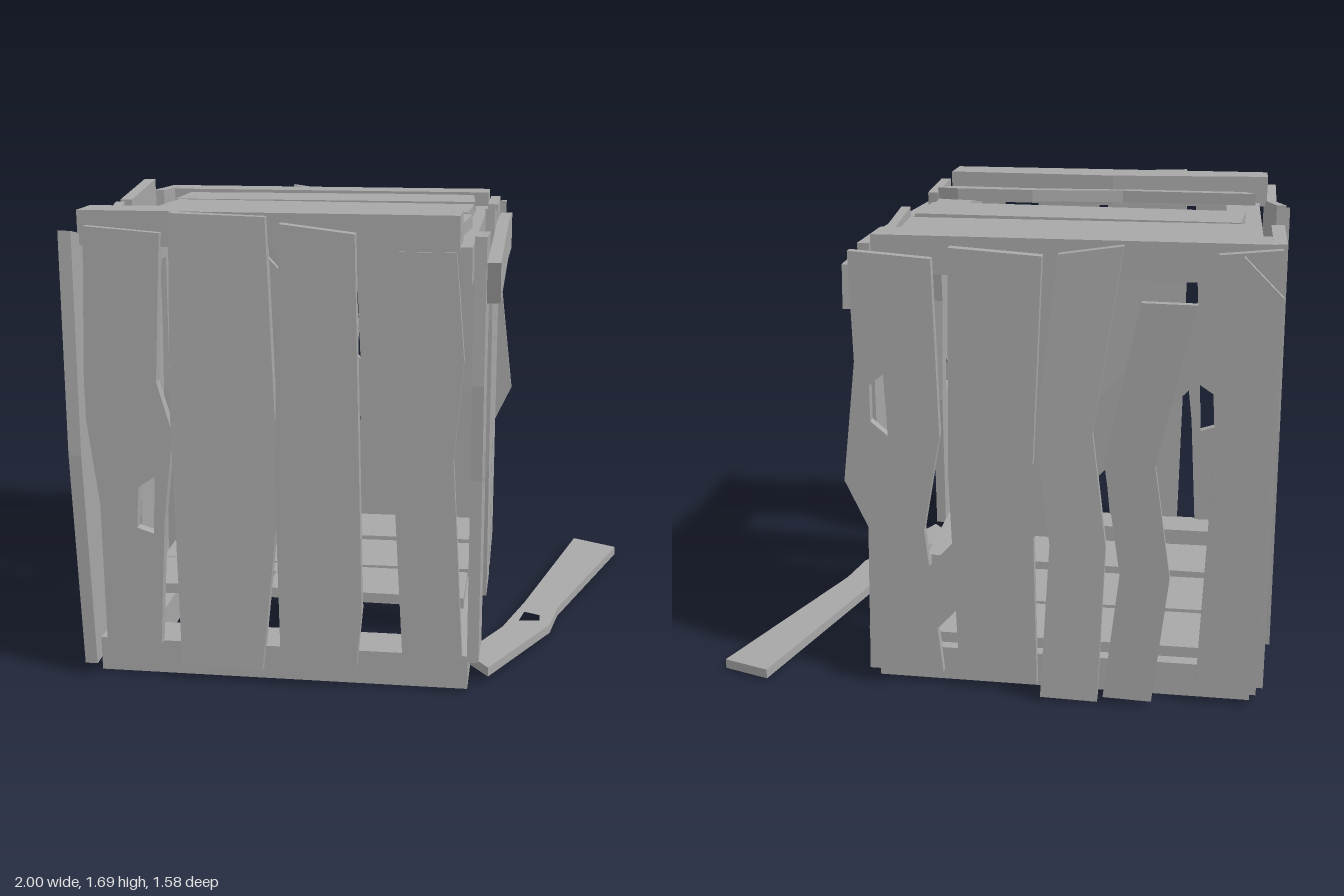
import * as THREE from 'three';

const wood = new THREE.MeshStandardMaterial({ color: 0xa8a8a8 });
wood.name = 'weathered grey wood';

// Each wall has a plane: (a, b) outline coordinates plus a depth along its axis.
const V = (x, y, z) => new THREE.Vector3(x, y, z);
const PLANES = {
  z: { basis: [V(1, 0, 0), V(0, 1, 0), V(0, 0, 1)], flip: [1, 1] },   // outline is x, y
  x: { basis: [V(0, 0, -1), V(0, 1, 0), V(1, 0, 0)], flip: [-1, 1] }, // outline is z, y
  y: { basis: [V(1, 0, 0), V(0, 0, -1), V(0, 1, 0)], flip: [1, -1] }, // outline is x, z
};

// A sawn board: outline extruded from depth d0 to d1, sheared by the given slopes, with an optional hole.
function board(name, axis, outline, d0, d1, { hole, slope = [0, 0] } = {}) {
  const { basis, flip } = PLANES[axis];
  const pts = (list) => list.map(([a, b]) => new THREE.Vector2(a * flip[0], b * flip[1]));
  const shape = new THREE.Shape(pts(outline));
  if (hole) shape.holes.push(new THREE.Path(pts(hole)));
  const geo = new THREE.ExtrudeGeometry(shape, { depth: d1 - d0, bevelEnabled: false });
  const p = geo.attributes.position;
  let ca = 0, cb = 0;
  for (const [a, b] of outline) { ca += a / outline.length; cb += b / outline.length; }
  for (let i = 0; i < p.count; i++) {
    const a = p.getX(i) * flip[0] - ca, b = p.getY(i) * flip[1] - cb;
    p.setZ(i, p.getZ(i) + d0 + slope[0] * a + slope[1] * b);
  }
  geo.applyMatrix4(new THREE.Matrix4().makeBasis(...basis));
  geo.computeVertexNormals();
  const mesh = new THREE.Mesh(geo, wood);
  mesh.name = name;
  return mesh;
}

const rect = (a0, a1, b0, b1) => [[a0, b0], [a1, b0], [a1, b1], [a0, b1]];

export function createModel() {
  const crate = new THREE.Group();
  crate.name = 'brokenCrate';
  const add = (...args) => crate.add(board(...args));

  // Square base frame
  add('baseBeamFront', 'y', rect(-0.91, 0.42, 0.54, 0.7), 0.01, 0.135);
  add('baseBeamBack', 'y', rect(-0.91, 0.42, -0.69, -0.53), 0.01, 0.135);
  add('baseBeamLeft', 'y', rect(0.26, 0.42, -0.53, 0.54), 0.01, 0.135);
  add('baseBeamRight', 'y', rect(-0.9, -0.75, -0.53, 0.54), 0.01, 0.135);

  // Floor boards
  add('floorBoardFront', 'y', [[-0.88, 0], [0.38, 0.02], [0.38, 0.29], [0.15, 0.28], [-0.3, 0.27], [-0.88, 0.28]],
    0.14, 0.18, { hole: [[-0.5, 0.12], [-0.45, 0.15], [-0.38, 0.16], [-0.38, 0.1]] });
  add('floorBoardMiddle', 'y', [[-0.88, -0.32], [0.38, -0.34], [0.38, -0.04], [-0.88, -0.03]], 0.13, 0.17);
  add('floorBoardBack', 'y', [[-0.88, -0.64], [0.38, -0.65], [0.38, -0.37], [-0.88, -0.36]], 0.135, 0.175);

  // Top frame
  add('topBeamFront', 'y', [[-0.92, 0.69], [0.37, 0.7], [0.37, 0.53], [-0.3, 0.5], [-0.92, 0.55]], 1.56, 1.68);
  add('topBeamBack', 'y', rect(-0.92, 0.41, -0.68, -0.53), 1.5, 1.63);
  add('topRailLeft', 'y', rect(0.27, 0.41, -0.53, 0.68), 1.45, 1.575);
  add('topRailRight', 'y', rect(-0.89, -0.76, -0.53, 0.68), 1.45, 1.575);

  // Lid boards
  add('lidBoardFront', 'y', [[-0.87, 0.34], [-0.35, 0.38], [0, 0.28], [0.3, 0.29], [0.39, 0.34], [0.36, 0.5], [0, 0.44], [-0.4, 0.51], [-0.83, 0.5]],
    1.59, 1.635, { hole: [[-0.41, 0.44], [-0.38, 0.4], [-0.31, 0.38], [-0.33, 0.43]], slope: [0, -0.1] });
  add('lidBoardMiddle', 'y', [[-0.81, -0.22], [0.37, -0.18], [0.36, 0.1], [-0.83, 0.04]], 1.58, 1.62);
  add('lidBoardBack', 'y', [[-0.83, -0.49], [0, -0.53], [0.35, -0.52], [0.37, -0.26], [-0.83, -0.24]], 1.58, 1.62);

  // Front wall
  add('frontPlankA', 'z', [[-0.88, 0.14], [-0.68, 0.13], [-0.65, 0.6], [-0.61, 0.92], [-0.66, 1.1], [-0.63, 1.61], [-0.89, 1.63], [-0.92, 1.0], [-0.88, 0.65]],
    0.68, 0.72, { hole: [[-0.75, 0.57], [-0.69, 0.55], [-0.68, 0.76], [-0.74, 0.72]] });
  add('frontPlankB', 'z', [[-0.6, 0.07], [-0.31, 0.05], [-0.24, 0.7], [-0.27, 1.67], [-0.59, 1.68], [-0.61, 1.0]],
    0.69, 0.735, { slope: [-0.04, 0] });
  add('frontPlankC', 'z', [[-0.24, 0.08], [0.03, 0.09], [0.05, 0.3], [0.03, 1.62], [-0.22, 1.65], [-0.25, 0.8]], 0.7, 0.745);
  add('frontPlankD', 'z', [[0.19, 0.1], [0.4, 0.12], [0.36, 0.85], [0.39, 1.2], [0.36, 1.56], [0.17, 1.56], [0.21, 1.2], [0.15, 0.9]], 0.665, 0.705);

  // Left wall, with one plank fallen away
  add('leftPlankFront', 'x', [[0.76, 0.14], [0.52, 0.12], [0.49, 0.7], [0.53, 1.13], [0.47, 1.6], [0.75, 1.62], [0.77, 1.13], [0.75, 0.8]],
    0.42, 0.46, { hole: [[0.63, 0.75], [0.58, 0.7], [0.58, 0.87], [0.63, 0.83]] });
  add('leftPlankMiddle', 'x', [[-0.04, 0.06], [-0.3, 0.06], [-0.33, 0.8], [-0.32, 1.58], [-0.03, 1.62], [0, 1.2], [0, 0.6]], 0.42, 0.455);
  add('leftPlankBack', 'x', [[-0.36, 0.07], [-0.61, 0.13], [-0.65, 0.8], [-0.68, 1.6], [-0.37, 1.6], [-0.35, 1.35], [-0.33, 0.8]], 0.415, 0.455);
  add('leftCrossBar', 'x', [[0.67, 1.39], [-0.2, 1.41], [-0.71, 1.38], [-0.7, 1.53], [-0.2, 1.56], [0.71, 1.53]], 0.46, 0.505);

  // Right wall
  add('rightPlankBack', 'x', [[-0.69, 0.06], [-0.36, 0.04], [-0.33, 0.8], [-0.36, 1.64], [-0.67, 1.63]], -0.955, -0.91);
  add('rightPlankMiddle', 'x', [[-0.33, 0.05], [0.02, 0.06], [0.01, 0.9], [0, 1.64], [-0.3, 1.69], [-0.36, 0.9]],
    -0.985, -0.94, { slope: [-0.03, 0.01] });
  add('rightPlankHoled', 'x', [[0.39, 0.15], [0.13, 0.13], [0.13, 0.38], [0.05, 0.87], [0.07, 1.64], [0.31, 1.62], [0.32, 1.2], [0.38, 0.5]],
    -0.955, -0.92, { hole: [[0.185, 1.02], [0.12, 0.98], [0.13, 1.19], [0.18, 1.15]], slope: [0.15, 0] });
  add('rightPlankFront', 'x', [[0.74, 0.05], [0.4, 0.06], [0.4, 0.5], [0.45, 1.55], [0.77, 1.62], [0.79, 0.85]], -0.96, -0.915);

  // Back wall, with a diagonal brace between two layers of planks
  add('backPlankA', 'z', [[0.18, 0.05], [0.45, 0.05], [0.44, 0.6], [0.52, 0.77], [0.47, 1.2], [0.48, 1.58], [0.2, 1.56], [0.18, 0.95], [0.24, 0.6]],
    -0.72, -0.685, { hole: [[0.36, 0.94], [0.42, 0.99], [0.42, 1.12], [0.37, 1.16]] });
  add('backPlankB', 'z', [[-0.16, 0.03], [0.12, 0.03], [0.15, 0.8], [0.14, 1.6], [-0.17, 1.58], [-0.14, 0.8]], -0.725, -0.685);
  add('backBrace', 'z', [[0.36, 0.06], [0.44, 0.23], [-0.82, 1.6], [-0.95, 1.47]], -0.755, -0.725);
  add('backPlankC', 'z', [[-0.38, 0.01], [-0.18, 0.02], [-0.21, 0.6], [-0.16, 1.0], [-0.23, 1.6], [-0.44, 1.63], [-0.35, 1.0], [-0.4, 0.6]],
    -0.785, -0.75, { slope: [-0.06, 0] });
  add('backPlankD', 'z', [[-0.57, 0.03], [-0.4, 0.03], [-0.45, 0.5], [-0.39, 0.9], [-0.5, 1.45], [-0.68, 1.45], [-0.56, 0.9], [-0.62, 0.5]],
    -0.785, -0.755, { slope: [0.05, 0] });
  add('backPlankE', 'z', [[-0.93, 0.05], [-0.72, 0.05], [-0.75, 0.9], [-0.74, 1.6], [-0.94, 1.62]], -0.725, -0.69);

  // Fallen plank lying on the ground
  add('fallenPlank', 'y', [[0.82, -0.79], [1, -0.72], [0.74, 0.03], [0.71, 0.2], [0.49, 0.63], [0.4, 0.52], [0.53, 0.26], [0.61, 0]],
    0.02, 0.055, { hole: [[0.61, 0.1], [0.67, 0.12], [0.67, 0.17], [0.59, 0.19]], slope: [-0.045, 0] });

  return crate;
}
